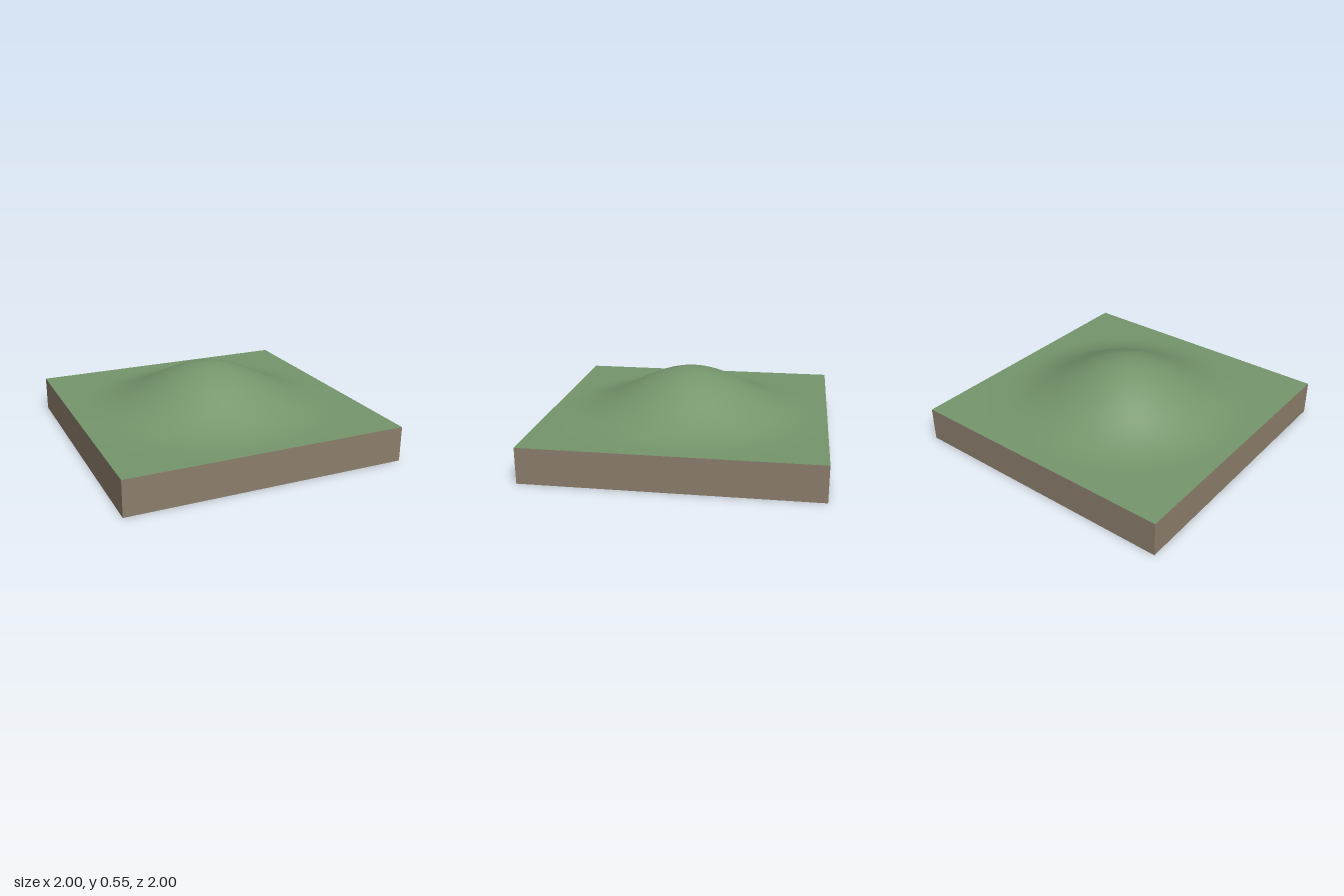
import * as THREE from 'three';

const SIZE = 2, BASE = 0.25, RISE = 0.3, SEGMENTS = 80;

// Smooth round hill that flattens out at the plot border
const heightAt = (x, z) => BASE + RISE * Math.max(0, 1 - x * x - z * z) ** 3;

export function createModel() {
  const model = new THREE.Group();
  model.name = 'terrainTile';

  const grass = new THREE.MeshStandardMaterial({ color: 0x75966c, side: THREE.DoubleSide });
  const soil = new THREE.MeshStandardMaterial({ color: 0x8b7d6b, side: THREE.DoubleSide });

  // Grass surface: a grid lifted into a hill
  const ground = new THREE.PlaneGeometry(SIZE, SIZE, SEGMENTS, SEGMENTS).rotateX(-Math.PI / 2);
  const p = ground.attributes.position;
  for (let i = 0; i < p.count; i++) p.setY(i, heightAt(p.getX(i), p.getZ(i)));
  ground.computeVertexNormals();
  const terrain = new THREE.Mesh(ground, grass);
  terrain.name = 'hillTerrain';
  model.add(terrain);

  // Four thin soil walls around an open underside
  const wallGeometry = new THREE.PlaneGeometry(SIZE, BASE).translate(0, BASE / 2, SIZE / 2);
  ['frontWall', 'leftWall', 'backWall', 'rightWall'].forEach((name, i) => {
    const wall = new THREE.Mesh(wallGeometry, soil);
    wall.name = name;
    wall.rotation.y = i * Math.PI / 2;
    model.add(wall);
  });

  return model;
}
